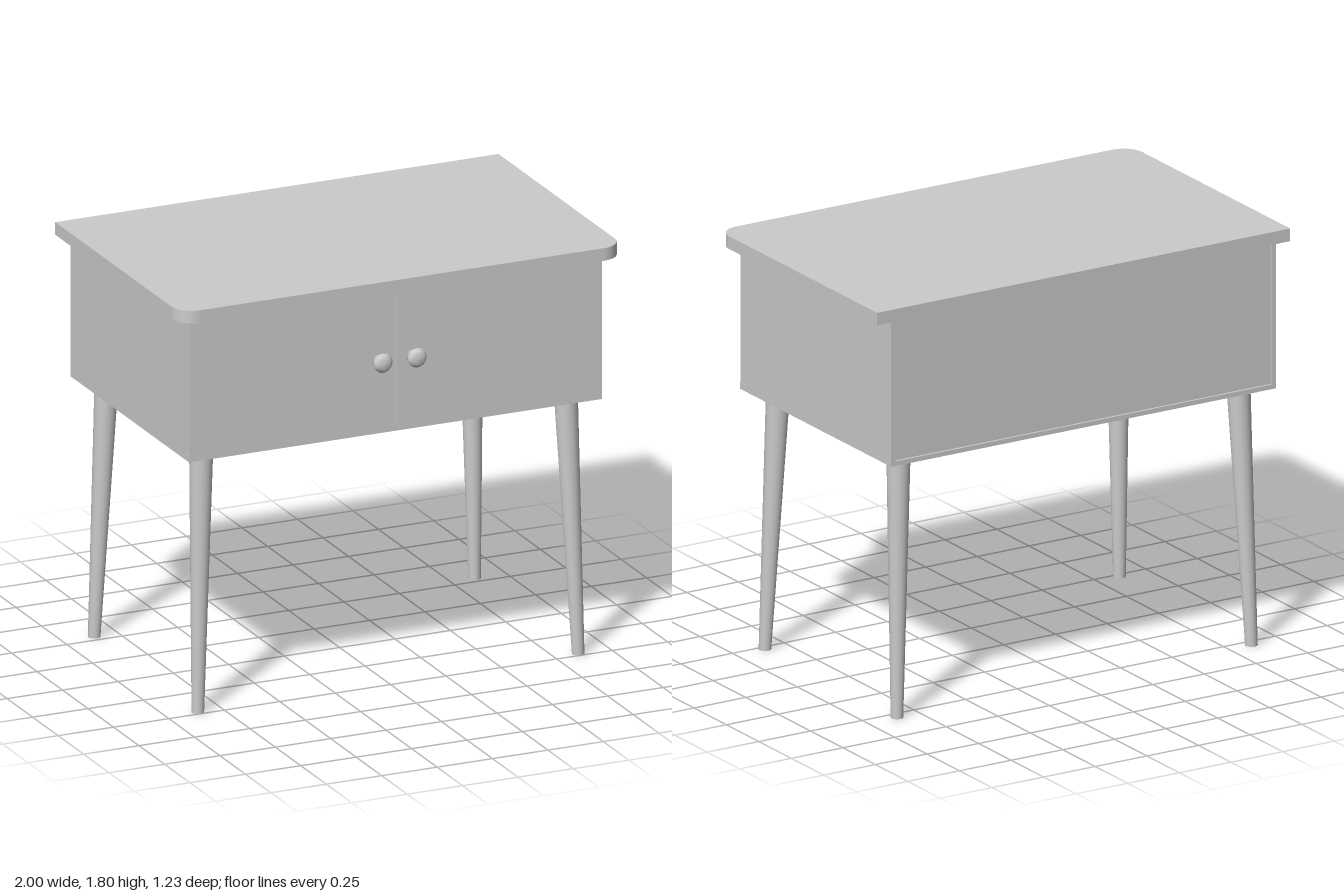
import * as THREE from 'three';

const material = new THREE.MeshStandardMaterial({ color: 0xcccccc, side: THREE.DoubleSide });

export function createModel() {
  const model = new THREE.Group();
  model.name = 'cabinet';

  const add = (name, geometry, x = 0, y = 0, z = 0) => {
    const mesh = new THREE.Mesh(geometry, material);
    mesh.name = name;
    mesh.position.set(x, y, z);
    model.add(mesh);
    return mesh;
  };
  // Box given by its minimum and maximum corners
  const panel = (name, [x0, y0, z0], [x1, y1, z1]) =>
    add(name, new THREE.BoxGeometry(x1 - x0, y1 - y0, z1 - z0),
      (x0 + x1) / 2, (y0 + y1) / 2, (z0 + z1) / 2);

  // Table top, square at the back and rounded at the front corners
  const r = 0.09, d = 0.615;
  const outline = new THREE.Shape();
  outline.moveTo(-1, d);
  outline.lineTo(-1, -d + r);
  outline.absarc(-1 + r, -d + r, r, Math.PI, Math.PI * 1.5, false);
  outline.lineTo(1 - r, -d);
  outline.absarc(1 - r, -d + r, r, -Math.PI / 2, 0, false);
  outline.lineTo(1, d);
  outline.closePath();
  const top = new THREE.ExtrudeGeometry(outline, { depth: 0.055, bevelEnabled: false, curveSegments: 12 });
  top.rotateX(-Math.PI / 2);
  add('tableTop', top, 0, 1.745, 0);

  // Case: recessed bottom and back between the sides
  panel('bottomPanel', [-0.91, 1.14, -0.605], [0.91, 1.165, 0.505]);
  panel('backPanel', [-0.91, 1.14, -0.605], [0.91, 1.745, -0.585]);
  panel('backRail', [-0.91, 1.12, -0.615], [0.91, 1.14, -0.595]);
  panel('frontRail', [-0.932, 1.12, 0.505], [0.932, 1.15, 0.55]);

  // Knob profile: base flange, thin stem, domed head
  const knobProfile = [[0, 0], [0.024, 0], [0.024, 0.004], [0.011, 0.008], [0.011, 0.03],
    [0.02, 0.034], [0.041, 0.04], [0.042, 0.046], [0.034, 0.058], [0.022, 0.065], [0, 0.067]]
    .map(([x, y]) => new THREE.Vector2(x, y));
  const knob = new THREE.LatheGeometry(knobProfile, 24);
  knob.rotateX(Math.PI / 2);

  // Splayed tapered leg running from the floor into the case
  const leg = (name, foot, head) => {
    const height = head.y - foot.y;
    const geometry = new THREE.CylinderGeometry(0.05, 0.026, height, 24);
    const p = geometry.attributes.position;
    for (let i = 0; i < p.count; i++) {
      const t = p.getY(i) / height + 0.5;
      p.setX(i, p.getX(i) + foot.x + (head.x - foot.x) * t);
      p.setY(i, foot.y + height * t);
      p.setZ(i, p.getZ(i) + foot.z + (head.z - foot.z) * t);
    }
    add(name, geometry);
  };

  // Mirrored parts
  for (const [side, s] of [['left', 1], ['right', -1]]) {
    panel(side + 'Side', [s * 0.921 - 0.011, 1.12, -0.615], [s * 0.921 + 0.011, 1.745, 0.505]);
    panel(side + 'Door', [s * 0.4665 - 0.4635, 1.15, 0.508], [s * 0.4665 + 0.4635, 1.745, 0.55]);
    add(side + 'Knob', knob, s * 0.077, 1.44, 0.549);
    leg(side + 'FrontLeg', new THREE.Vector3(s * 0.858, 0, 0.475), new THREE.Vector3(s * 0.822, 1.14, 0.43));
    leg(side + 'BackLeg', new THREE.Vector3(s * 0.858, 0, -0.542), new THREE.Vector3(s * 0.822, 1.14, -0.497));
  }
  return model;
}
